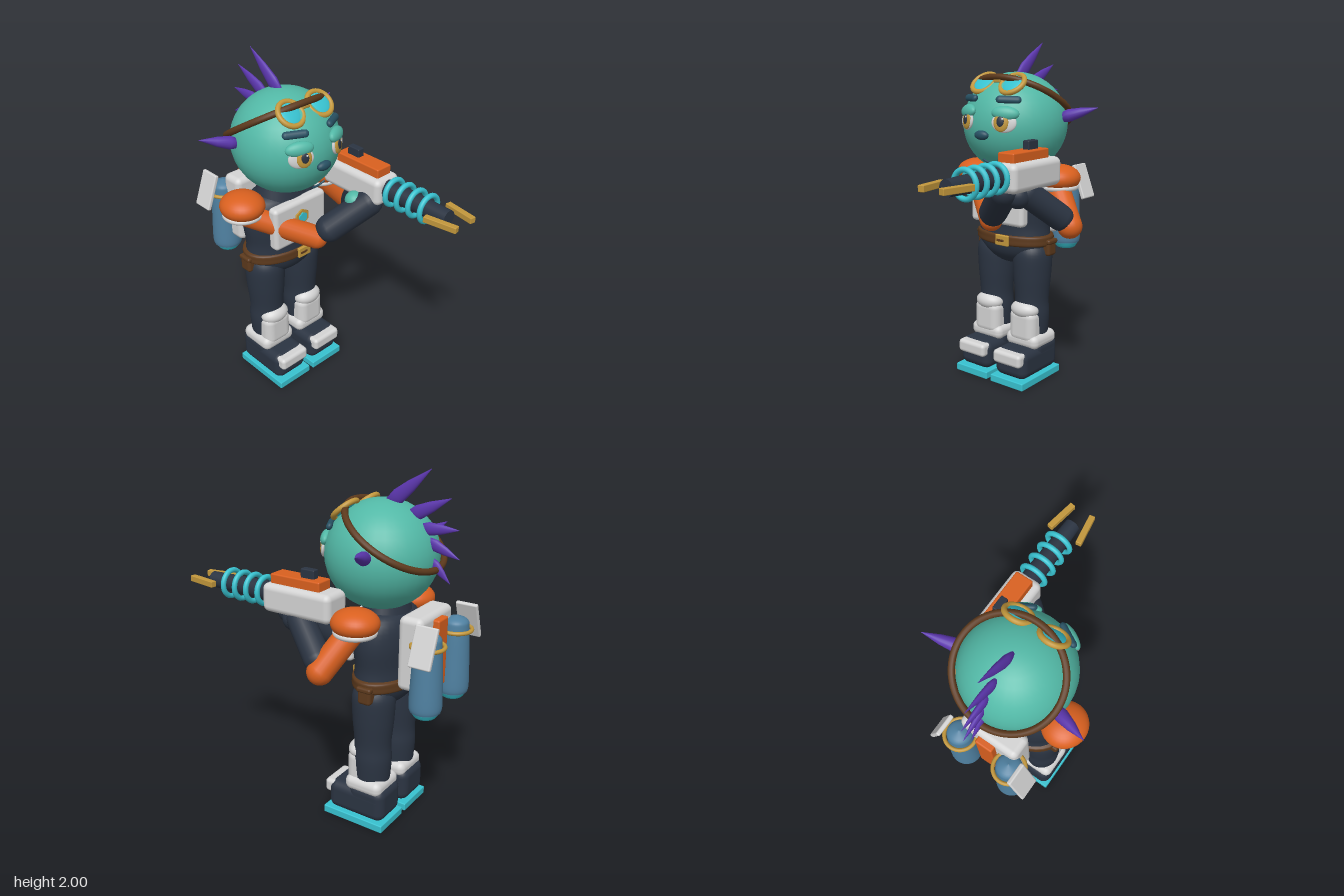
import * as THREE from 'three';
import { RoundedBoxGeometry } from 'three/addons/geometries/RoundedBoxGeometry.js';

const paint = (name, color) => {
  const m = new THREE.MeshStandardMaterial({ color });
  m.name = name;
  return m;
};
const V = (x, y, z) => new THREE.Vector3(x, y, z);
const Y = V(0, 1, 0), Z = V(0, 0, 1);

export function createModel() {
  const root = new THREE.Group();
  root.name = 'spaceAdventurer';
  const teal = paint('teal skin', 0x52b8a6), navy = paint('navy suit', 0x2b3442);
  const orange = paint('orange', 0xd9601f), white = paint('white armour', 0xd4d4d4);
  const brown = paint('brown leather', 0x5c391c), gold = paint('gold', 0xc2973c);
  const cyan = paint('cyan', 0x38c2d0), blue = paint('blue tank', 0x4f80a0);
  const purple = paint('purple', 0x5b36ad), slate = paint('dark slate', 0x275062);

  const add = (name, geo, mat, p, s = [1, 1, 1], r = [0, 0, 0]) => {
    const m = new THREE.Mesh(geo, mat);
    m.name = name;
    m.position.set(...p);
    m.scale.set(...s);
    m.rotation.set(...r);
    root.add(m);
    return m;
  };
  const ball = (name, mat, p, s, r) => add(name, new THREE.SphereGeometry(1, 32, 20), mat, p, s, r);
  const box = (name, mat, p, s, rad = 0.02, r) =>
    add(name, new RoundedBoxGeometry(...s, 3, rad), mat, p, [1, 1, 1], r);
  const lathe = (name, mat, pts, p, s) =>
    add(name, new THREE.LatheGeometry(new THREE.SplineCurve(pts.map(a => new THREE.Vector2(...a))).getPoints(32), 32), mat, p, s);
  const limb = (name, mat, a, b, rad) => {
    const d = b.clone().sub(a);
    const m = add(name, new THREE.CapsuleGeometry(rad, d.length(), 8, 20), mat, a.clone().lerp(b, 0.5).toArray());
    m.quaternion.setFromUnitVectors(Y, d.normalize());
  };
  const mid = -0.045;

  // Legs and boots
  for (const s of [-1, 1]) {
    const x = mid + s * 0.135;
    lathe('leg', navy, [[0.09, 0.15], [0.098, 0.28], [0.105, 0.4], [0.1, 0.5], [0.112, 0.65], [0.115, 0.78], [0.09, 0.84]],
      [x, 0, -0.32], [1, 1, 1.05]);
    box('sole', cyan, [x, 0.026, -0.262], [0.24, 0.046, 0.39], 0.006);
    box('bootFoot', navy, [x, 0.135, -0.268], [0.228, 0.175, 0.36], 0.05);
    box('bootHeel', navy, [x, 0.15, -0.335], [0.226, 0.2, 0.23], 0.05);
    box('toeCap', white, [x, 0.176, -0.105], [0.2, 0.08, 0.09], 0.022);
    box('ankleCuff', white, [x, 0.25, -0.315], [0.232, 0.09, 0.232], 0.04);
    box('shinGuard', white, [x, 0.34, -0.255], [0.185, 0.21, 0.12], 0.05);
    ball('kneePad', white, [x, 0.44, -0.25], [0.092, 0.055, 0.068]);
  }

  // Torso and pelvis
  lathe('torso', navy, [[0.001, 0.7], [0.1, 0.715], [0.2, 0.77], [0.24, 0.85], [0.235, 0.95], [0.25, 1.08], [0.23, 1.19], [0.16, 1.25], [0.001, 1.27]],
    [mid, 0, -0.32], [1, 1, 0.64]);
  add('collar', new THREE.CylinderGeometry(0.14, 0.17, 0.09, 32), navy, [mid, 1.25, -0.31], [1, 1, 0.8]);
  box('chestPlate', white, [mid, 1.095, -0.17], [0.38, 0.265, 0.07], 0.025);
  add('emblemFrame', new THREE.CylinderGeometry(0.05, 0.05, 0.014, 6), gold, [mid, 1.125, -0.132], [1, 1, 1], [Math.PI / 2, 0, 0]);
  add('emblemCore', new THREE.CylinderGeometry(0.032, 0.032, 0.009, 6), cyan, [mid, 1.125, -0.122], [1, 1, 1], [Math.PI / 2, 0, 0]);

  // Belt
  lathe('belt', brown, [[0.235, 0.832], [0.256, 0.842], [0.258, 0.868], [0.256, 0.892], [0.235, 0.902]], [mid, 0, -0.325], [1, 1, 0.65]);
  box('buckle', gold, [-0.012, 0.868, -0.155], [0.094, 0.064, 0.02], 0.006);
  box('bucklePin', brown, [-0.02, 0.868, -0.145], [0.05, 0.014, 0.008], 0.003);
  for (const s of [-1, 1]) {
    box('pouch', brown, [mid + s * 0.226, 0.826, -0.335], [0.09, 0.1, 0.08], 0.018);
    box('pouchFlap', brown, [mid + s * 0.23, 0.862, -0.335], [0.092, 0.03, 0.09], 0.012);
  }

  // Backpack with two tanks, rings and fins
  box('backpack', white, [mid, 1.075, -0.545], [0.355, 0.41, 0.14], 0.035);
  box('backPanel', orange, [mid, 1.06, -0.625], [0.105, 0.38, 0.05], 0.01);
  for (const s of [-1, 1]) {
    const x = mid + s * 0.157;
    lathe('tank', blue, [[0.082, 0.79], [0.088, 0.83], [0.082, 0.98], [0.072, 1.15], [0.06, 1.2], [0.001, 1.225]], [x, 0, -0.645]);
    lathe('nozzle', cyan, [[0.001, 0.752], [0.05, 0.754], [0.072, 0.78], [0.08, 0.8]], [x, 0, -0.645]);
    add('tankRing', new THREE.TorusGeometry(0.086, 0.011, 10, 36), gold, [x, 1.147, -0.645], [1, 1, 1], [Math.PI / 2, 0, 0]);
    box('fin', white, [mid + s * 0.257, 1.177, -0.67], [0.025, 0.215, 0.125], 0.008, [0, 0, s * 0.36]);
  }

  // Arms
  const rElbow = V(-0.01, 1.01, -0.05), lElbow = V(0.425, 1.01, -0.2);
  limb('rightUpperArm', orange, V(-0.3, 1.17, -0.29), rElbow, 0.066);
  limb('rightForearm', navy, V(0.045, 1.07, 0), V(0.22, 1.225, 0.13), 0.08);
  limb('leftUpperArm', orange, V(0.26, 1.22, -0.3), lElbow, 0.07);
  limb('leftForearm', navy, V(0.39, 1.06, -0.16), V(0.29, 1.21, 0.02), 0.074);
  ball('rightHand', teal, [0.17, 1.235, 0.07], [0.055, 0.05, 0.055]);
  ball('leftHand', navy, [0.27, 1.2, 0.07], [0.07, 0.07, 0.07]);
  for (const [n, x, y] of [['right', -0.322, 1.235], ['left', 0.27, 1.25]]) {
    ball(n + 'ShoulderPad', orange, [x, y, -0.31], [0.125, 0.078, 0.13]);
    add(n + 'ShoulderTrim', new THREE.TorusGeometry(0.1, 0.016, 10, 36), white, [x, y - 0.05, -0.31], [1, 1, 1], [Math.PI / 2, 0, 0]);
  }

  // Blaster
  const gx = 0.275, gy = 1.322;
  box('blasterBody', white, [gx, 1.313, 0.008], [0.178, 0.158, 0.435], 0.035);
  box('blasterTop', orange, [gx, 1.405, 0.03], [0.105, 0.075, 0.315], 0.008);
  box('blasterSight', navy, [gx, 1.46, -0.03], [0.042, 0.06, 0.085], 0.006);
  box('blasterGrip', navy, [gx, 1.21, 0.07], [0.07, 0.12, 0.09], 0.02);
  add('barrel', new THREE.CylinderGeometry(0.044, 0.057, 0.44, 24), navy, [gx, gy, 0.42], [1, 1, 1], [Math.PI / 2, 0, 0]);
  for (let i = 0; i < 4; i++)
    add('coil', new THREE.TorusGeometry(0.073, 0.015, 12, 36), cyan, [gx, gy, 0.265 + i * 0.08]);
  for (const s of [-1, 1])
    box('prong', gold, [gx + s * 0.08, 1.327, 0.65], [0.035, 0.034, 0.19], 0.004, [0, -s * 0.16, 0]);

  // Head
  const H = V(-0.02, 1.545, -0.285), R = V(0.302, 0.291, 0.305);
  ball('head', teal, H.toArray(), R.toArray());
  const onFace = (name, geo, mat, dx, y, lift, s, roll = 0) => {
    const dy = y - H.y, dz = R.z * Math.sqrt(1 - (dx / R.x) ** 2 - (dy / R.y) ** 2);
    const n = V(dx / R.x ** 2, dy / R.y ** 2, dz / R.z ** 2).normalize();
    const m = add(name, geo, mat, V(dx, dy, dz).add(H).addScaledVector(n, lift).toArray(), s);
    m.quaternion.setFromUnitVectors(Z, n).multiply(new THREE.Quaternion().setFromAxisAngle(Z, roll));
  };
  const dot = new THREE.SphereGeometry(1, 24, 16);

  // Face
  for (const s of [-1, 1]) {
    onFace('eyeWhite', dot, white, s * 0.13, 1.572, 0, [0.07, 0.055, 0.016]);
    onFace('iris', dot, gold, s * 0.117, 1.572, 0.012, [0.042, 0.05, 0.012]);
    onFace('pupil', dot, navy, s * 0.115, 1.577, 0.02, [0.022, 0.029, 0.008]);
    onFace('eyeGlint', dot, white, s * 0.115 + 0.01, 1.59, 0.027, [0.006, 0.006, 0.003]);
    onFace('eyelid', dot, teal, s * 0.13, 1.622, 0, [0.078, 0.04, 0.03]);
    onFace('eyebrow', new THREE.CapsuleGeometry(0.021, 0.1, 6, 14), slate, s * 0.128, 1.69, 0.008, [1, 1, 0.8], Math.PI / 2 + s * 0.12);
  }
  onFace('nose', dot, slate, 0, 1.5, 0.008, [0.047, 0.027, 0.024]);
  onFace('mouth', new THREE.TorusGeometry(0.075, 0.006, 8, 20, 1.6), slate, 0.015, 1.405, 0.004, [1, 1, 1], -Math.PI / 2 - 0.8);

  // Headband and goggles
  const band = add('headband', new THREE.TorusGeometry(0.288, 0.018, 12, 64), brown, [-0.02, 1.66, -0.36]);
  band.quaternion.setFromUnitVectors(Z, V(0, 0.85, -0.53).normalize());
  const tilt = new THREE.Quaternion().setFromUnitVectors(Z, V(0, 0.75, 0.66).normalize());
  for (const s of [-1, 1]) {
    const p = [-0.018 + s * 0.1, 1.775, -0.12];
    add('goggleRim', new THREE.TorusGeometry(0.072, 0.015, 12, 40), gold, p).quaternion.copy(tilt);
    add('goggleLens', dot, cyan, p, [0.066, 0.066, 0.014]).quaternion.copy(tilt);
  }
  box('goggleBridge', gold, [-0.018, 1.79, -0.115], [0.05, 0.02, 0.02], 0.006);

  // Crest spikes and side spikes
  const spike = (name, a, b, rad, flat) => {
    const d = b.clone().sub(a);
    const pts = [[0.001, 0], [rad * 0.75, 0], [rad, 0.22], [rad * 0.72, 0.55], [0.001, 1]].map(q => new THREE.Vector2(q[0], q[1] * d.length()));
    add(name, new THREE.LatheGeometry(pts, 20), purple, a.toArray(), [flat, 1, 1])
      .quaternion.setFromUnitVectors(Y, d.normalize());
  };
  const crest = [[1.81, -0.32, 2, -0.55], [1.76, -0.44, 1.87, -0.665], [1.705, -0.51, 1.72, -0.715], [1.645, -0.55, 1.575, -0.725], [1.55, -0.57, 1.445, -0.68]];
  crest.forEach(([y0, z0, y1, z1], i) =>
    spike('crestSpike', V(-0.022, y0, z0), V(-0.022, y1, z1), 0.04 - i * 0.003, 0.55));
  for (const s of [-1, 1])
    spike('sideSpike', V(-0.02 + s * 0.27, 1.585, -0.355), V(-0.02 + s * 0.47, 1.645, -0.42), 0.036, 1);

  return root;
}
